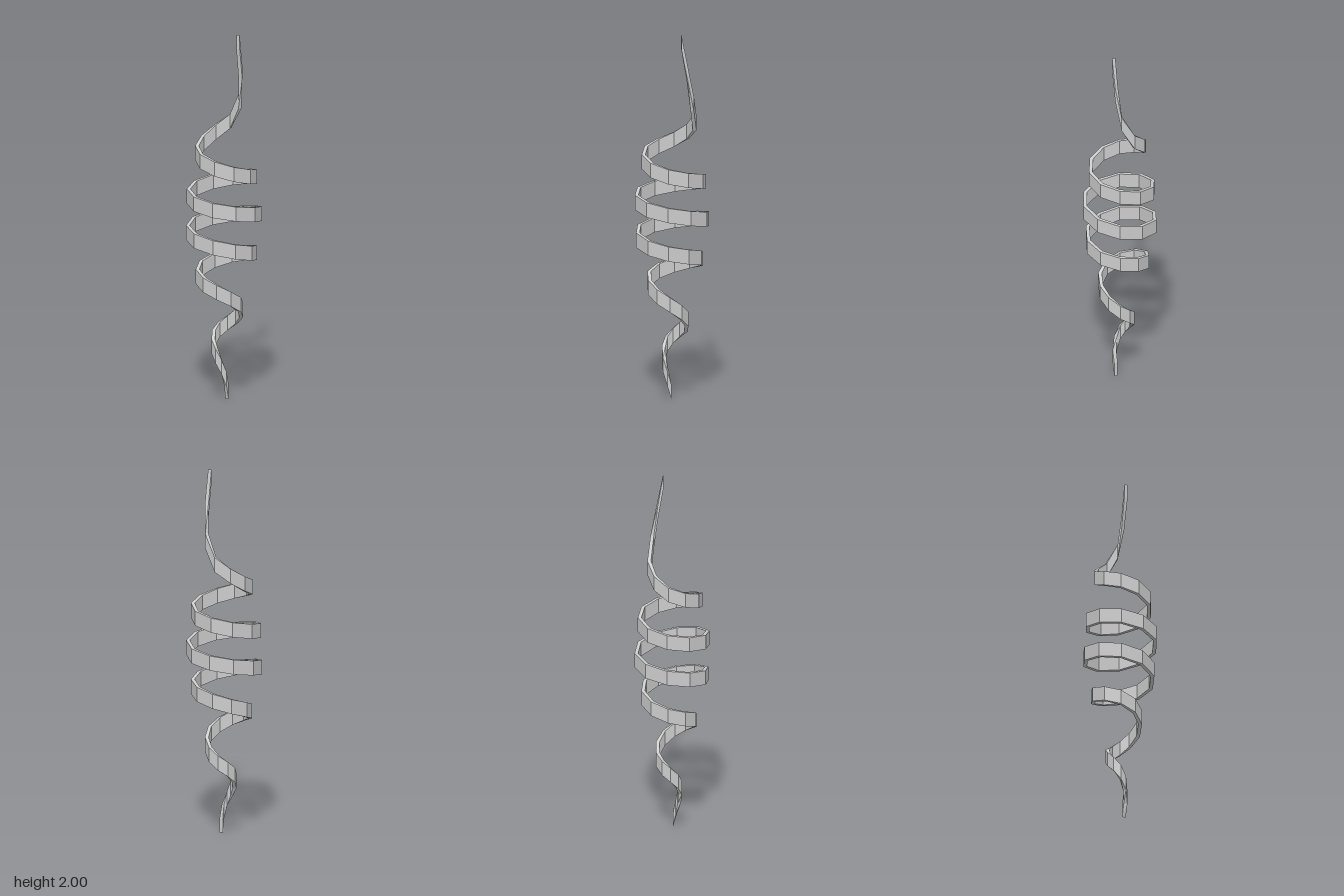
import * as THREE from 'three';

const HALF_HEIGHT = 0.04, HALF_THICK = 0.01, SIDES = 10;

// Radius and mid-height of the spiral at each quarter turn
const PROFILE = [
  [0.022, 0.04], [0.043, 0.215], [0.064, 0.33], [0.083, 0.42], [0.103, 0.532],
  [0.126, 0.63], [0.148, 0.7], [0.161, 0.77], [0.176, 0.825], [0.188, 0.885],
  [0.194, 0.935], [0.196, 0.985], [0.195, 1.04], [0.192, 1.09], [0.185, 1.135],
  [0.176, 1.19], [0.165, 1.245], [0.152, 1.315], [0.137, 1.39], [0.123, 1.53],
];

// Centre line: ten straight pieces per turn, then the drawn-out upper tip
function centreLine() {
  const curve = new THREE.CatmullRomCurve3(
    PROFILE.map(([r, y]) => new THREE.Vector3(r, y, 0)), false, 'catmullrom', 0.5);
  const turns = (PROFILE.length - 1) / 4;
  const points = [];
  for (let i = 0; i / SIDES < turns; i++) {
    const p = curve.getPoint(i / SIDES / turns);
    const a = (i / SIDES) * Math.PI * 2;
    points.push(new THREE.Vector3(p.x * Math.cos(a), p.y, p.x * Math.sin(a)));
  }
  points.push(
    new THREE.Vector3(0.027, 1.62, -0.113),
    new THREE.Vector3(0.048, 1.79, -0.088),
    new THREE.Vector3(0.054, 1.96, -0.057));
  return points;
}

// Sweep an upright rectangle along the centre line
function ribbonGeometry(points) {
  const positions = [], index = [], last = points.length - 1;
  const corners = [[-1, -1], [1, -1], [1, 1], [-1, 1]];
  points.forEach((p, k) => {
    const before = points[Math.max(k - 1, 0)], after = points[Math.min(k + 1, last)];
    const out = new THREE.Vector3(after.z - before.z, 0, before.x - after.x).normalize();
    for (const [u, v] of corners) {
      positions.push(p.x + out.x * u * HALF_THICK, p.y + v * HALF_HEIGHT, p.z + out.z * u * HALF_THICK);
    }
  });
  for (let k = 0; k < last; k++) {
    for (let j = 0; j < 4; j++) {
      const a = k * 4 + j, b = k * 4 + (j + 1) % 4;
      index.push(a, b, b + 4, a, b + 4, a + 4);
    }
  }
  // End caps
  const e = last * 4;
  index.push(0, 2, 1, 0, 3, 2, e, e + 1, e + 2, e, e + 2, e + 3);

  const geometry = new THREE.BufferGeometry();
  geometry.setAttribute('position', new THREE.Float32BufferAttribute(positions, 3));
  geometry.setIndex(index);
  const faceted = geometry.toNonIndexed();
  faceted.computeVertexNormals();
  return faceted;
}

export function createModel() {
  const group = new THREE.Group();
  group.name = 'spiralOrnament';
  const material = new THREE.MeshStandardMaterial({ color: 0xcccccc, flatShading: true });
  const ribbon = new THREE.Mesh(ribbonGeometry(centreLine()), material);
  ribbon.name = 'spiralRibbon';
  group.add(ribbon);
  return group;
}
